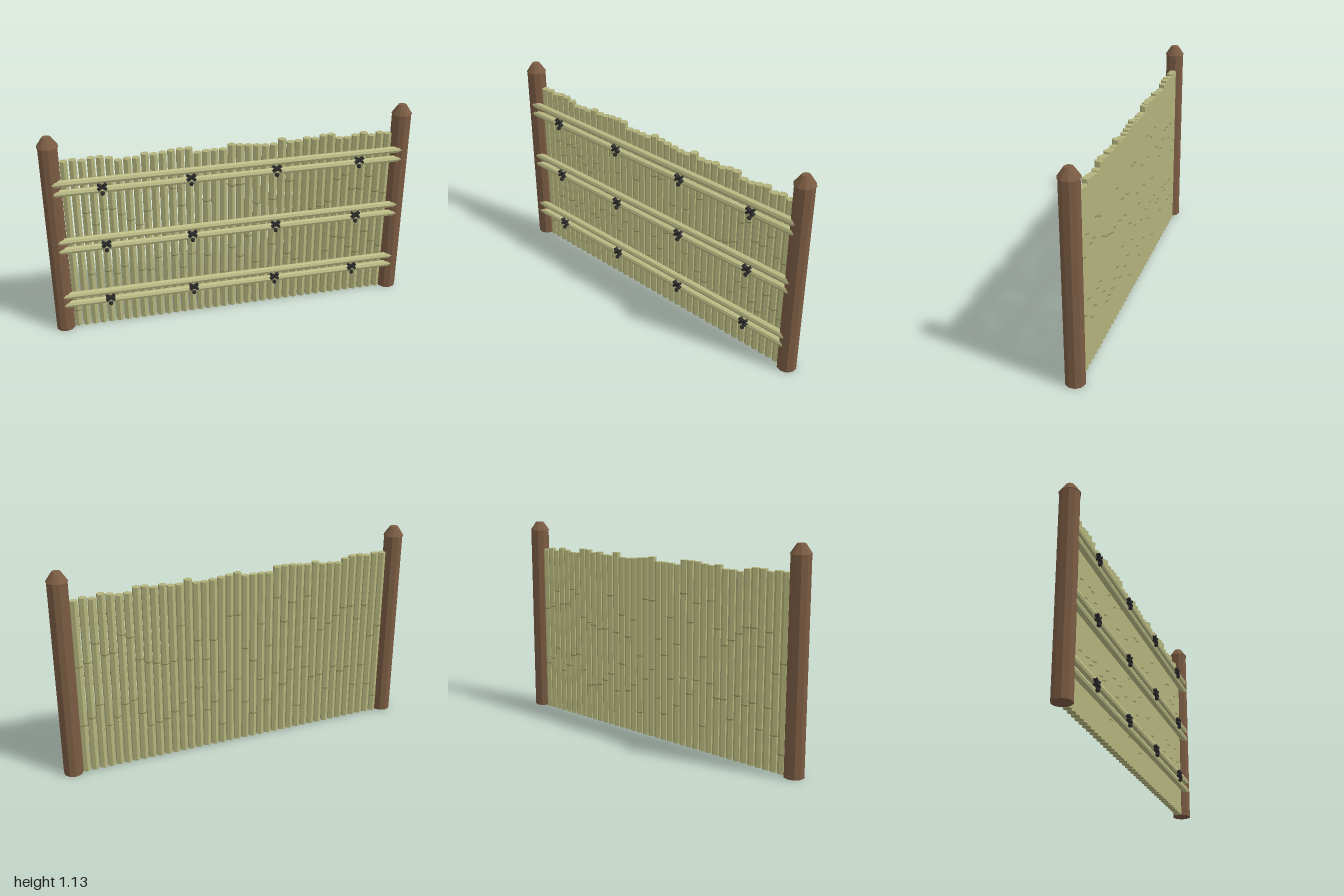
import * as THREE from 'three';

const material = (name, color) => {
  const m = new THREE.MeshStandardMaterial({ color, flatShading: true });
  m.name = name;
  return m;
};

export function createModel() {
  const wood = material('brown wood', 0x7b5c43);
  const cane = material('cane green', 0xb3b37c);
  const railCane = material('pale cane', 0xbebe88);
  const joint = material('cane joint olive', 0x8c8c5c);
  const rope = material('dark rope', 0x2c2c2c);

  const fence = new THREE.Group();
  fence.name = 'caneFence';
  const add = (name, geometry, mat, x, y, z, parent = fence) => {
    const mesh = new THREE.Mesh(geometry, mat);
    mesh.name = name;
    mesh.position.set(x, y, z);
    parent.add(mesh);
    return mesh;
  };

  let seed = 7;
  const random = () => (seed = (seed * 16807) % 2147483647) / 2147483647;

  // End posts with tapered caps
  const postShape = new THREE.CylinderGeometry(0.052, 0.052, 1.085, 10);
  const capShape = new THREE.CylinderGeometry(0.022, 0.056, 0.05, 10);
  for (const side of [-1, 1]) {
    add('post', postShape, wood, side * 0.946, 0.5425, -0.01);
    add('postCap', capShape, wood, side * 0.946, 1.11, -0.01);
  }

  // Row of upright canes with uneven tops (heights in thousandths)
  const tops = [995, 998, 990, 1000, 1000, 990, 972, 977, 977, 995, 987, 991, 998,
    1000, 1000, 972, 976, 976, 976, 998, 990, 985, 980, 975, 976, 1000, 980, 981,
    992, 985, 998, 1000, 974, 972, 982, 991, 973, 984, 975];
  const jointShape = new THREE.CylinderGeometry(0.0238, 0.0238, 0.007, 6);
  const pitch = 1.75 / (tops.length - 1);
  tops.forEach((top, i) => {
    const height = top / 1000;
    const x = -0.875 + i * pitch;
    add('cane', new THREE.CylinderGeometry(0.0222, 0.0222, height, 6), cane, x, height / 2, -0.014);
    const low = 0.1 + random() * 0.3;
    for (const y of [low, low + 0.27 + random() * 0.2]) add('caneJoint', jointShape, joint, x, y, -0.014);
  });

  // Three pairs of rails
  const railShape = new THREE.CylinderGeometry(0.019, 0.019, 1.89, 8).rotateZ(Math.PI / 2);
  const levels = [0.188, 0.524, 0.86];
  for (const y of levels) {
    for (const offset of [-0.027, 0.027]) add('rail', railShape, railCane, 0, y + offset, 0.023);
  }

  // Crossed rope lashings, each with a hanging knot
  const strandShape = new THREE.BoxGeometry(0.054, 0.012, 0.02);
  const knotShape = new THREE.SphereGeometry(0.012, 8, 6);
  for (const y of levels) {
    for (const x of [-0.695, -0.232, 0.232, 0.695]) {
      const lashing = new THREE.Group();
      lashing.name = 'lashing';
      lashing.position.set(x, y, 0.052);
      for (const tilt of [-0.6, 0.6]) add('strand', strandShape, rope, 0, 0, 0, lashing).rotation.z = tilt;
      add('knot', knotShape, rope, 0, -0.034, 0.004, lashing);
      fence.add(lashing);
    }
  }
  return fence;
}
